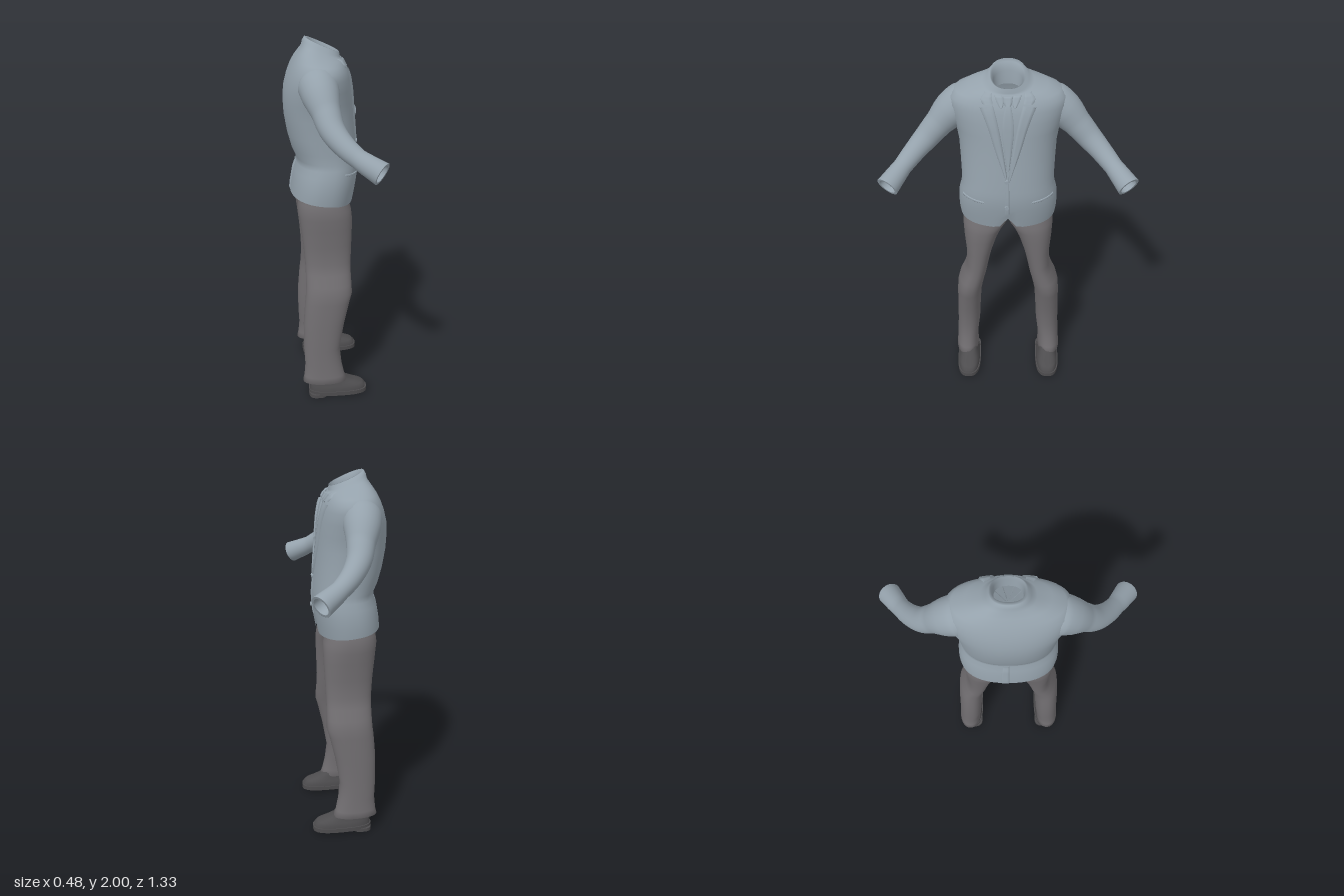
import * as THREE from 'three';

const SEG = 48;
const material = (name, color) => {
  const m = new THREE.MeshStandardMaterial({ color, side: THREE.DoubleSide });
  m.name = name;
  return m;
};

// Skin a list of point rows; closed rows wrap round, s = -1 mirrors across z.
function skin(rows, s = 1, closed = true) {
  const n = rows[0].length, pos = [], idx = [];
  rows.forEach(r => r.forEach(p => pos.push(p.x, p.y, p.z * s)));
  for (let i = 0; i < rows.length - 1; i++) {
    for (let j = 0; j < (closed ? n : n - 1); j++) {
      const k = (j + 1) % n;
      const a = i * n + j, b = i * n + k, c = a + n, d = b + n;
      if (s > 0) idx.push(a, c, b, b, c, d);
      else idx.push(a, b, c, b, d, c);
    }
  }
  const g = new THREE.BufferGeometry();
  g.setAttribute('position', new THREE.Float32BufferAttribute(pos, 3));
  g.setIndex(idx);
  g.computeVertexNormals();
  return g;
}

// Horizontal superellipse: height, back x, front x, inner z, outer z, tilt.
function ring(y, xb, xf, z0, z1, tilt = 0, n = 2.3) {
  const cx = (xb + xf) / 2, cz = (z0 + z1) / 2, pts = [];
  const pow = v => Math.sign(v) * Math.abs(v) ** (2 / n);
  for (let j = 0; j < SEG; j++) {
    const a = j / SEG * Math.PI * 2;
    const dx = (xf - xb) / 2 * pow(Math.cos(a));
    pts.push(new THREE.Vector3(cx + dx, y + tilt * dx, cz + (z1 - z0) / 2 * pow(Math.sin(a))));
  }
  return pts;
}

// Jacket body: y, back x, front x, half width, tilt
const BODY = [
  [1.15, -0.218, 0.122, 0.26, -0.12], [1.2, -0.214, 0.133, 0.266, -0.06],
  [1.25, -0.207, 0.143, 0.266, 0], [1.3, -0.198, 0.148, 0.262, 0],
  [1.34, -0.184, 0.148, 0.252, 0], [1.37, -0.184, 0.146, 0.247, 0],
  [1.42, -0.207, 0.142, 0.247, 0], [1.5, -0.229, 0.134, 0.25, 0],
  [1.6, -0.246, 0.124, 0.255, 0], [1.68, -0.25, 0.118, 0.268, 0],
  [1.75, -0.244, 0.111, 0.292, 0], [1.81, -0.228, 0.1, 0.302, 0],
  [1.85, -0.21, 0.088, 0.295, -0.04], [1.882, -0.19, 0.074, 0.265, -0.1],
  [1.908, -0.168, 0.064, 0.2, -0.18], [1.926, -0.148, 0.056, 0.13, -0.32],
  [1.942, -0.143, 0.054, 0.105, -0.42], [1.962, -0.132, 0.05, 0.09, -0.43],
  [1.958, -0.112, 0.048, 0.08, -0.43], [1.92, -0.1, 0.045, 0.074, -0.4], [1.86, -0.095, 0.04, 0.07, -0.3],
];

// Point on the jacket's front (side 1) or back (side -1), lifted outward.
function onBody(y, z, lift, side = 1) {
  let i = 0;
  while (i < 15 && BODY[i + 1][0] < y) i++;
  const t = THREE.MathUtils.clamp((y - BODY[i][0]) / (BODY[i + 1][0] - BODY[i][0]), 0, 1);
  const [, xb, xf, hz, tilt] = BODY[i].map((v, k) => THREE.MathUtils.lerp(v, BODY[i + 1][k], t));
  const f = (1 - Math.min(1, Math.abs(z) / hz) ** 2.3) ** (1 / 2.3);
  const dx = side * (xf - xb) / 2 * f;
  return new THREE.Vector3((xb + xf) / 2 + dx + side * lift, y + tilt * dx, z);
}

// Thin cloth panel between two edges given as [z, y] points; borders sink into the body.
function panel(inner, outer, lift, side = 1, s = 1) {
  const line = e => new THREE.SplineCurve(e.map(p => new THREE.Vector2(...p)));
  const a = line(inner), b = line(outer), rows = [];
  for (let i = 0; i <= 16; i++) {
    const p = a.getPoint(i / 16), q = b.getPoint(i / 16), row = [];
    for (let j = 0; j <= 6; j++) {
      const u = Math.max(0, Math.min(1, (j - 0.5) / 5));
      const r = p.clone().lerp(q, u), edge = j === 0 || j === 6;
      row.push(onBody(r.y, r.x, edge ? -0.003 : lift, side));
    }
    rows.push(row);
  }
  return skin(rows, s * side, false);
}

// Sleeve along a curve, with the cuff turned in and closed deep inside.
function sleeve(s) {
  const curve = new THREE.CatmullRomCurve3([
    [-0.085, 1.795, 0.17], [-0.08, 1.782, 0.235], [-0.07, 1.74, 0.295], [-0.053, 1.68, 0.355],
    [-0.03, 1.61, 0.42], [0.018, 1.55, 0.485], [0.085, 1.498, 0.545], [0.188, 1.442, 0.616],
  ].map(p => new THREE.Vector3(...p)));
  const radii = [0.08, 0.104, 0.094, 0.074, 0.065, 0.056, 0.049, 0.06];
  const rows = [];
  const add = (t, r) => {
    const c = curve.getPoint(t), d = curve.getTangent(t);
    const u = new THREE.Vector3().crossVectors(d, new THREE.Vector3(0, 1, 0)).normalize();
    const v = new THREE.Vector3().crossVectors(u, d);
    rows.push(Array.from({ length: 28 }, (_, j) => {
      const a = j / 28 * Math.PI * 2;
      return c.clone().addScaledVector(u, r * Math.cos(a)).addScaledVector(v, r * Math.sin(a));
    }));
  };
  for (let i = 0; i <= 35; i++) {
    const k = i / 5, m = Math.min(6, Math.floor(k));
    add(i / 35, THREE.MathUtils.lerp(radii[m], radii[m + 1], k - m));
  }
  [[1, 0.058], [1, 0.047], [1, 0.046], [0.94, 0.043], [0.9, 0.038], [0.9, 0]].forEach(p => add(...p));
  return skin(rows, s);
}

// Trouser leg: y, back x, front x, inner z, outer z (inner hem first, then up)
const LEG = [
  [0.16, -0.14, 0.035, 0.205, 0.295], [0.1, -0.155, 0.055, 0.198, 0.306], [0.095, -0.176, 0.074, 0.186, 0.321],
  [0.13, -0.168, 0.06, 0.19, 0.317], [0.2, -0.162, 0.045, 0.186, 0.312], [0.3, -0.168, 0.034, 0.174, 0.308],
  [0.45, -0.168, 0.06, 0.166, 0.304], [0.58, -0.158, 0.09, 0.157, 0.299], [0.63, -0.152, 0.104, 0.149, 0.295],
  [0.68, -0.15, 0.102, 0.138, 0.282], [0.74, -0.15, 0.1, 0.123, 0.255], [0.8, -0.152, 0.1, 0.112, 0.238],
  [0.9, -0.16, 0.104, 0.09, 0.237], [1, -0.172, 0.108, 0.057, 0.246], [1.06, -0.18, 0.108, 0.028, 0.249],
  [1.1, -0.186, 0.104, 0, 0.25], [1.14, -0.182, 0.09, -0.005, 0.242], [1.18, -0.172, 0.08, -0.01, 0.228],
  [1.28, -0.155, 0.08, -0.01, 0.21],
];
// Shoe upper: y, back x, front x, half width
const UPPER = [
  [0.03, -0.138, 0.183, 0.066], [0.05, -0.138, 0.182, 0.065], [0.066, -0.136, 0.165, 0.06],
  [0.08, -0.134, 0.125, 0.054], [0.1, -0.13, 0.075, 0.05], [0.14, -0.125, 0.035, 0.045], [0.14, -0.04, -0.04, 0],
];
const plate = (y0, y1, xb, xf, z, w, n) => skin([
  ring(y0, (xb + xf) / 2, (xb + xf) / 2, z, z, 0, n),
  ...[y0, y0, y1, y1].map(y => ring(y, xb, xf, z - w, z + w, 0, n)),
  ring(y1, (xb + xf) / 2, (xb + xf) / 2, z, z, 0, n)]);

export function createModel() {
  const model = new THREE.Group();
  model.name = 'suit';
  const cloth = material('jacketBlueGrey', 0x95a2ac);
  const trouser = material('trouserGrey', 0x716e71);
  const leather = material('shoeDarkGrey', 0x4d4c4e);
  const add = (name, geometry, mat) => {
    const m = new THREE.Mesh(geometry, mat);
    m.name = name;
    model.add(m);
    return m;
  };

  // Jacket body with a small notch in the front hem
  const rows = BODY.map(([y, xb, xf, h, tilt]) => ring(y, xb, xf, -h, h, tilt));
  [0.06, 0.025].forEach((rise, i) => rows[i].forEach(p => {
    if (p.x > 0) p.y += rise * Math.max(0, 1 - Math.abs(p.z) / 0.05);
  }));
  add('jacketBody', skin(rows), cloth);

  for (const s of [1, -1]) {
    const side = s > 0 ? 'left' : 'right';
    const part = (name, g, mat) => add(side + name, g, mat);
    part('Sleeve', sleeve(s), cloth);
    // Lapel, collar leaf, shirt collar and hip pocket
    part('Lapel', panel([[0.004, 1.46], [0.022, 1.6], [0.045, 1.74], [0.072, 1.86]],
      [[0.012, 1.45], [0.062, 1.6], [0.102, 1.74], [0.142, 1.845]], 0.009, 1, s), cloth);
    part('Collar', panel([[0.073, 1.868], [0.078, 1.895], [0.08, 1.925]],
      [[0.125, 1.862], [0.136, 1.89], [0.115, 1.922]], 0.007, 1, s), cloth);
    part('ShirtCollar', panel([[0.028, 1.845], [0.018, 1.88], [0.028, 1.922]],
      [[0.04, 1.845], [0.058, 1.88], [0.07, 1.922]], 0.005, 1, s), cloth);
    part('PocketFlap', panel([[0.125, 1.298], [0.18, 1.3], [0.24, 1.306]],
      [[0.125, 1.308], [0.18, 1.312], [0.24, 1.32]], 0.005, 1, s), cloth);

    // Trouser leg, turned in at the hem
    part('TrouserLeg', skin(LEG.map(([y, xb, xf, a, b]) => ring(y, xb, xf, a, b)), s), trouser);

    // Shoe with sole and heel
    const z = 0.244;
    part('ShoeUpper', skin(UPPER.map(([y, xb, xf, w]) => ring(y, xb, xf, z - w, z + w, 0, 2.7)), s), leather);
    part('ShoeSole', plate(0.012, 0.036, -0.143, 0.19, z * s, 0.071, 2.8), leather);
    part('ShoeHeel', plate(0, 0.02, -0.143, -0.035, z * s, 0.067, 3), leather);
  }

  // Tie knot and blade
  add('tieKnot', panel([[-0.016, 1.86], [-0.023, 1.88], [-0.026, 1.92]],
    [[0.016, 1.86], [0.023, 1.88], [0.026, 1.92]], 0.009), cloth);
  add('tieBlade', panel([[-0.006, 1.5], [-0.022, 1.62], [-0.032, 1.74], [-0.016, 1.86]],
    [[0.006, 1.5], [0.022, 1.62], [0.032, 1.74], [0.016, 1.86]], 0.005), cloth);
  // Front overlap and back vent
  add('frontOverlap', panel([[-0.008, 1.235], [-0.008, 1.35], [-0.006, 1.47]],
    [[0.016, 1.235], [0.016, 1.35], [0.012, 1.47]], 0.003), cloth);
  add('backVent', panel([[-0.005, 1.16], [-0.005, 1.26], [-0.005, 1.35]],
    [[0.04, 1.16], [0.04, 1.26], [0.03, 1.35]], 0.005, -1), cloth);
  // Buttons
  for (const y of [1.28, 1.44]) {
    const b = add('button', new THREE.CylinderGeometry(0.011, 0.013, 0.01, 16), cloth);
    b.position.copy(onBody(y, 0.006, 0.005));
    b.rotation.z = -Math.PI / 2;
  }
  return model;
}
